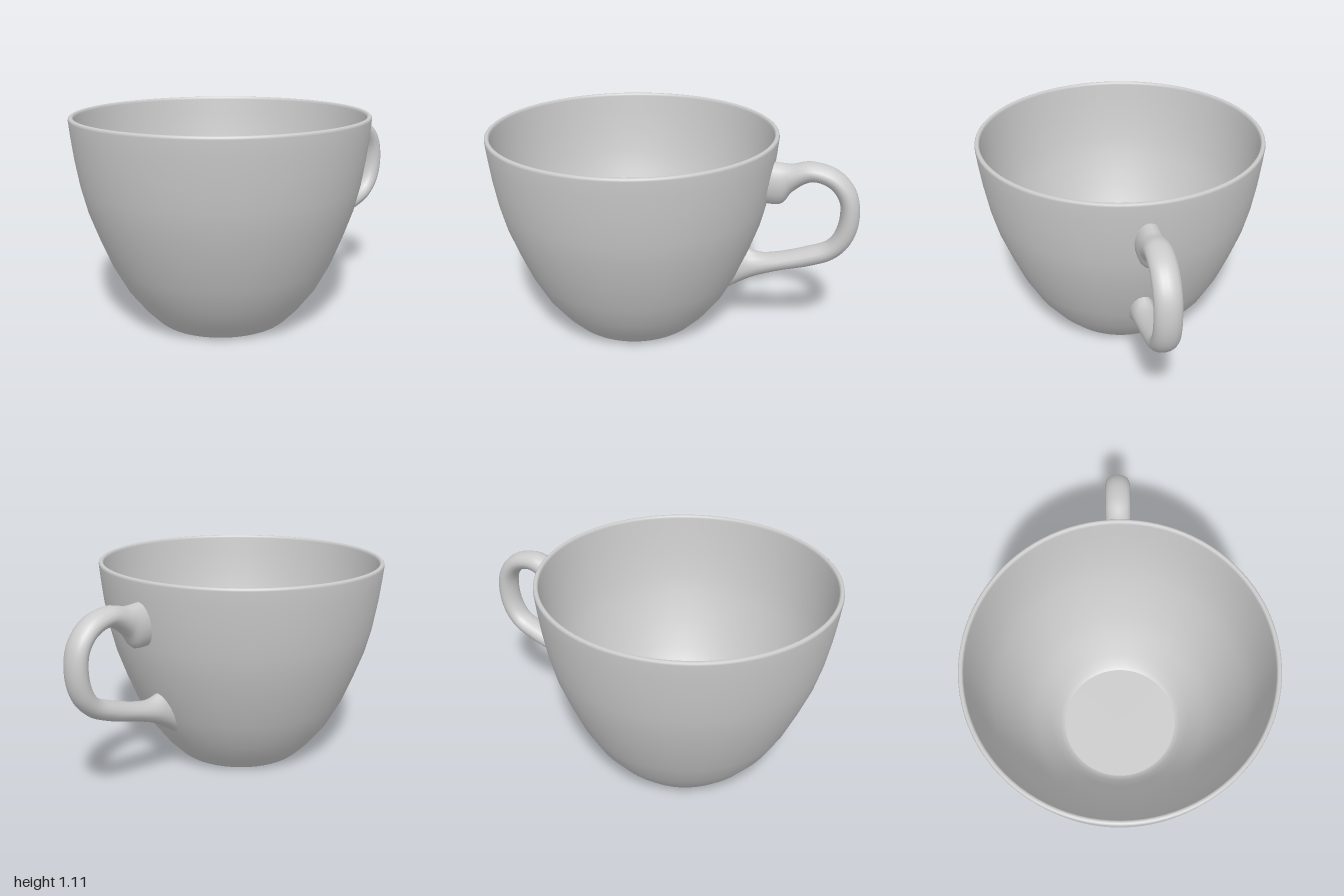
import * as THREE from 'three';

const CUP_X = -0.222;
const material = new THREE.MeshStandardMaterial({ color: 0xcccccc, roughness: 0.6 });

function lathe(name, points) {
  const geometry = new THREE.LatheGeometry(points.map(([r, y]) => new THREE.Vector2(r, y)), 96);
  const mesh = new THREE.Mesh(geometry, material);
  mesh.name = name;
  mesh.position.x = CUP_X;
  return mesh;
}

// Lofts oval sections between an outer and an inner edge drawn in the xy plane
function loftHandle(sections, steps, sides) {
  const edge = (k) => new THREE.CatmullRomCurve3(
    sections.map((s) => new THREE.Vector3(s[k], s[k + 1], s[4])));
  const outer = edge(0), inner = edge(2);
  const positions = [], index = [];
  for (let i = 0; i <= steps; i++) {
    const a = outer.getPoint(i / steps), b = inner.getPoint(i / steps);
    for (let j = 0; j < sides; j++) {
      const angle = (j / sides) * Math.PI * 2;
      const t = (1 + Math.cos(angle)) / 2;
      positions.push(b.x + (a.x - b.x) * t, b.y + (a.y - b.y) * t, a.z * Math.sin(angle));
      if (i === steps) continue;
      const p = i * sides + j, q = i * sides + (j + 1) % sides;
      index.push(p, q, p + sides, q, q + sides, p + sides);
    }
  }
  const geometry = new THREE.BufferGeometry();
  geometry.setAttribute('position', new THREE.Float32BufferAttribute(positions, 3));
  geometry.setIndex(index);
  geometry.computeVertexNormals();
  return geometry;
}

export function createModel() {
  const group = new THREE.Group();
  group.name = 'cup';

  // Bowl: outer wall up, rounded rim, inner wall down
  const wall = [
    [0.43, 0.085], [0.515, 0.195], [0.59, 0.335], [0.65, 0.485], [0.7, 0.625],
    [0.732, 0.755], [0.756, 0.9], [0.77, 1.02], [0.777, 1.095],
  ];
  const rim = [[0.775, 1.105], [0.769, 1.11], [0.759, 1.11], [0.753, 1.105]];
  const innerWall = wall.map(([r, y]) => [r - 0.026, y + 0.025 * (1 - y / 1.095)]).reverse();
  group.add(lathe('bowl', [
    [0.33, 0], [0.347, 0.005], [0.364, 0.018], ...wall, ...rim, ...innerWall,
    [0.36, 0.046], [0.33, 0.034],
  ]));

  // Flat underside and inside floor
  group.add(lathe('base', [[0, 0], [0.33, 0]]));
  group.add(lathe('innerFloor', [[0.33, 0.034], [0, 0.034]]));

  // Handle sections: outer x, outer y, inner x, inner y, half width
  const sections = [
    [0.535, 0.998, 0.5, 0.765, 0.07],
    [0.585, 0.994, 0.59, 0.772, 0.07],
    [0.63, 0.992, 0.645, 0.845, 0.068],
    [0.73, 1.012, 0.745, 0.91, 0.068],
    [0.87, 0.978, 0.835, 0.885, 0.068],
    [0.968, 0.875, 0.885, 0.82, 0.068],
    [0.996, 0.73, 0.895, 0.73, 0.068],
    [0.965, 0.59, 0.875, 0.64, 0.068],
    [0.885, 0.495, 0.835, 0.582, 0.068],
    [0.77, 0.44, 0.735, 0.537, 0.068],
    [0.6, 0.388, 0.575, 0.484, 0.068],
    [0.45, 0.328, 0.488, 0.472, 0.068],
    [0.305, 0.235, 0.42, 0.492, 0.066],
  ];
  const handle = new THREE.Mesh(loftHandle(sections, 72, 16), material);
  handle.name = 'handle';
  group.add(handle);

  return group;
}
